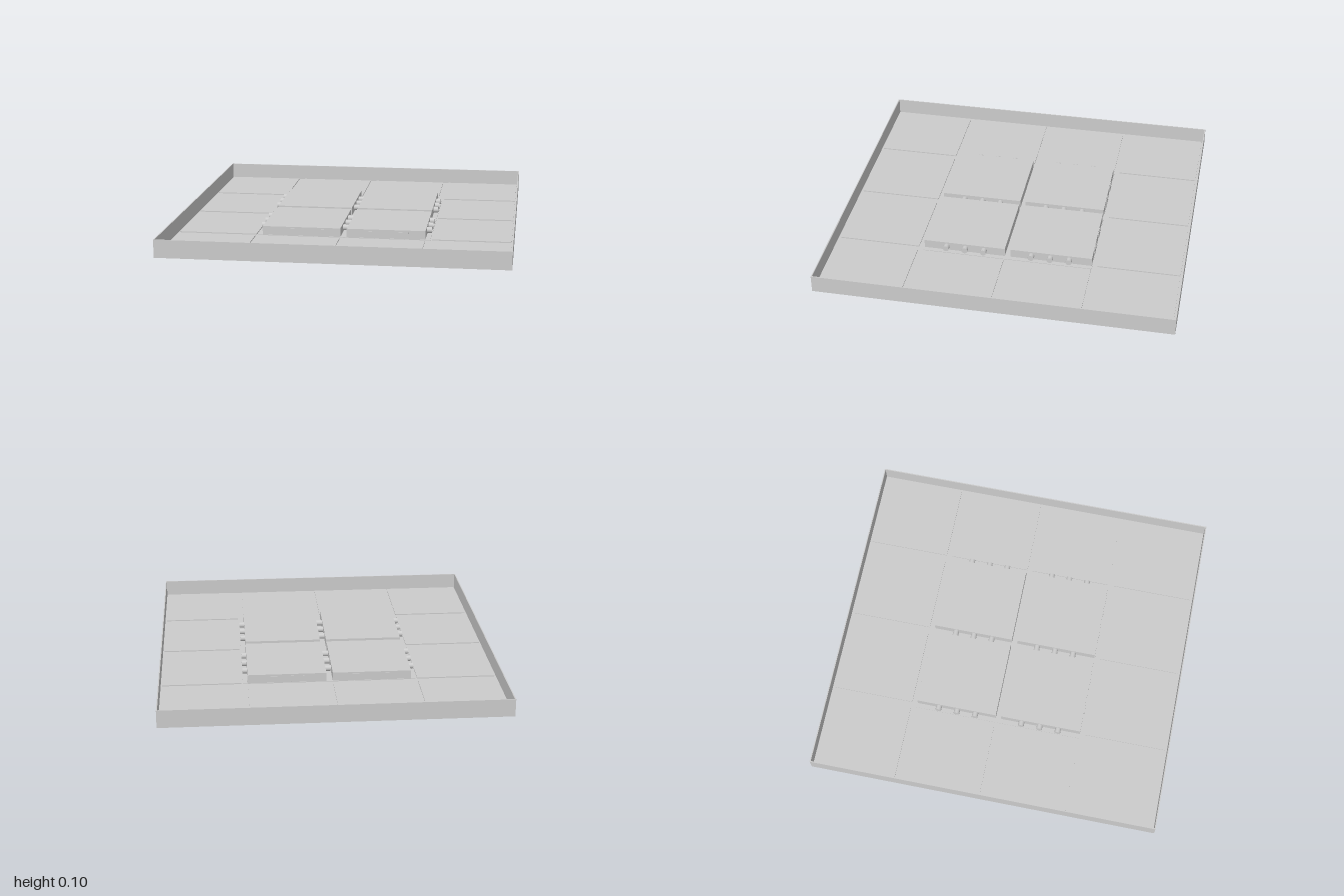
import * as THREE from 'three';

const mat = new THREE.MeshStandardMaterial({ color: 0xcccccc });

export function createModel() {
  const root = new THREE.Group();
  root.name = 'tray';

  const add = (name, geometry, x, y, z) => {
    const mesh = new THREE.Mesh(geometry, mat);
    mesh.name = name;
    mesh.position.set(x, y, z);
    root.add(mesh);
    return mesh;
  };
  // box given by its centre in plan and its bottom and top heights
  const slab = (name, x, z, w, d, y0, y1) =>
    add(name, new THREE.BoxGeometry(w, y1 - y0, d), x, (y0 + y1) / 2, z);

  const W = 1.9, D = 2, H = 0.1, T = 0.006;
  const tileW = 0.441, tileD = 0.466;
  const colX = [-0.715, -0.2385, 0.2385, 0.715];
  const rowZ = [-0.7485, -0.249, 0.249, 0.7485];

  // thin floor and four rim walls
  slab('floor', 0, 0, W - 2 * T, D - 2 * T, 0.004, 0.008);
  for (const s of [-1, 1]) {
    slab('sideWall', s * (W - T) / 2, 0, T, D, 0, H);
    slab('endWall', 0, s * (D - T) / 2, W - 2 * T, T, 0, H);
  }

  // low plate under the four raised blocks
  slab('centrePlate', 0, 0, 0.972, 0.97, 0.006, 0.011);

  // grid of floor tiles; the middle four are tall blocks
  const mid = i => i === 1 || i === 2;
  colX.forEach((x, i) => rowZ.forEach((z, j) => {
    const raised = mid(i) && mid(j);
    slab(raised ? 'block' : 'tile', x, z, tileW, tileD, 0, raised ? 0.06 : 0.014);
    if (!raised) return;
    // small tabs on the outer end of each block
    const end = Math.sign(z) * (Math.abs(z) + tileD / 2);
    for (const dx of [-0.06, 0.09])
      slab('tab', x + dx, end, 0.075, 0.006, 0.016, 0.05);
  }));

  // round pins joining the blocks and standing out at both sides
  const pin = (x, z, length) => {
    const g = new THREE.CylinderGeometry(0.017, 0.017, length, 24).rotateZ(Math.PI / 2);
    add('pin', g, x, 0.035, z);
  };
  for (const s of [-1, 1])
    for (const z of [0.137, 0.245, 0.353]) {
      pin(0, s * z, 0.04);
      for (const side of [-1, 1]) pin(side * 0.471, s * z, 0.03);
    }

  return root;
}
